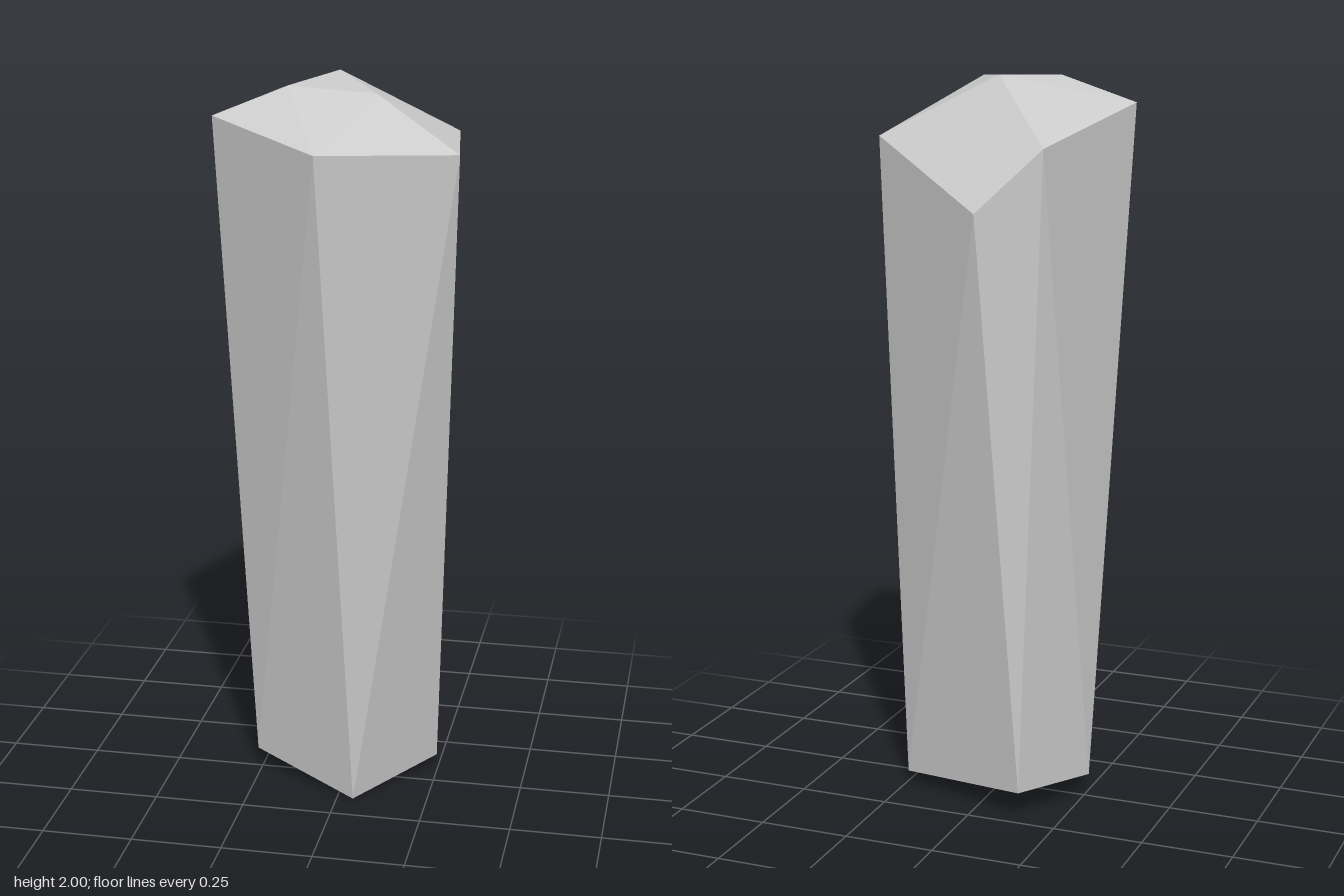
import * as THREE from 'three';
import { ConvexGeometry } from 'three/addons/geometries/ConvexGeometry.js';

export function createModel() {
  const group = new THREE.Group();
  group.name = 'stonePillar';

  // slanted four-sided foot
  const foot = [
    [0.045, 0, 0.155], [0.245, 0.035, -0.095], [-0.14, 0.077, -0.23], [-0.26, 0.06, 0.01],
  ];
  // wide six-sided shoulder
  const shoulder = [
    [-0.018, 1.858, 0.357], [0.322, 1.838, 0.171], [0.272, 1.838, -0.18],
    [-0.066, 1.67, -0.358], [-0.219, 1.83, -0.269], [-0.323, 1.916, 0.163],
  ];
  // small facet at the tip
  const crown = [[0.1, 1.98, 0.128], [-0.042, 2, -0.12], [-0.138, 1.988, 0.094]];

  // the chiselled stone is the convex skin around the three rings
  const points = [...foot, ...shoulder, ...crown].map((p) => new THREE.Vector3(...p));
  const stone = new THREE.Mesh(
    new ConvexGeometry(points),
    new THREE.MeshStandardMaterial({ color: 0xcccccc, flatShading: true })
  );
  stone.name = 'stone';
  group.add(stone);
  return group;
}
